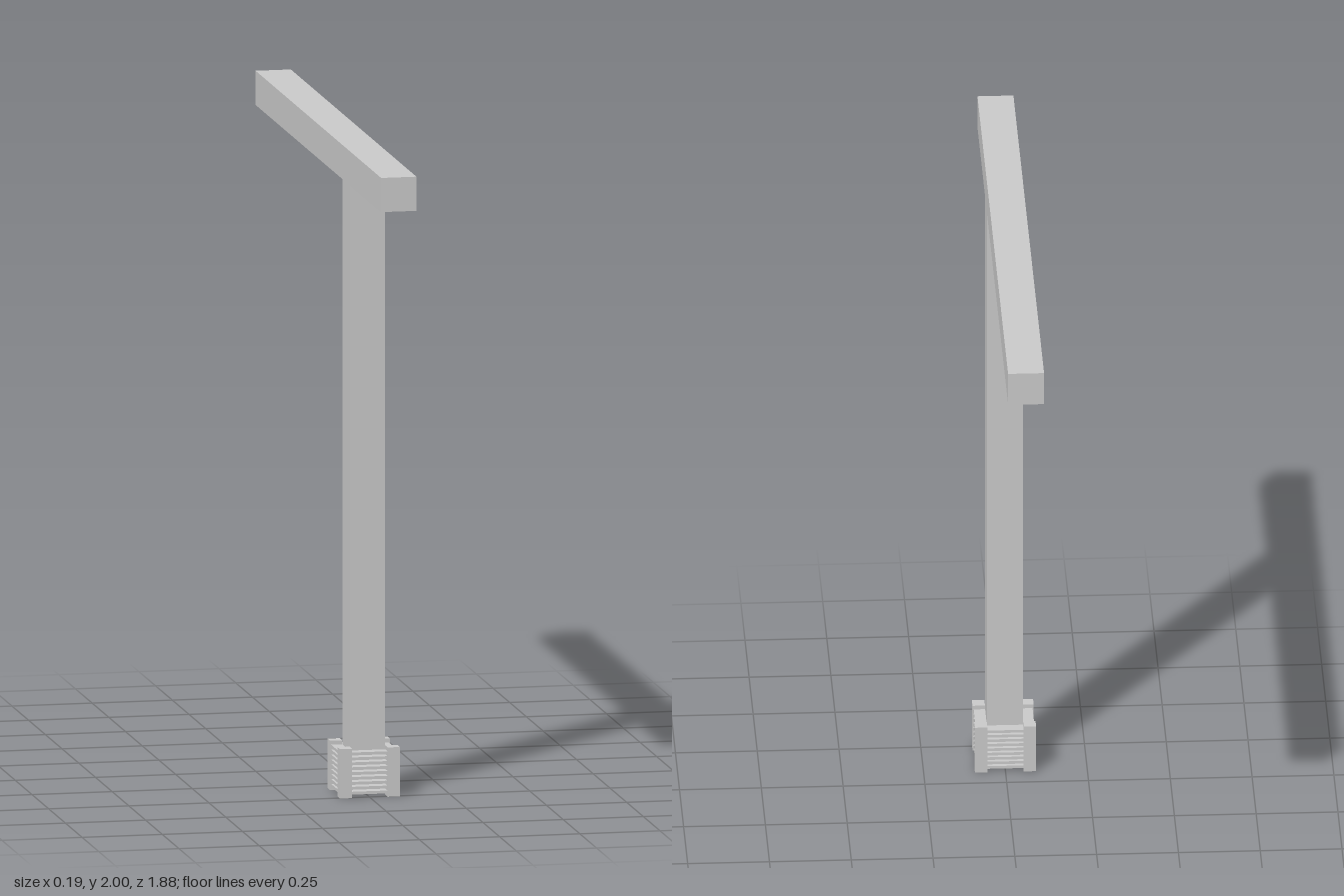
import * as THREE from 'three';

export function createModel() {
  const model = new THREE.Group();
  const material = new THREE.MeshStandardMaterial({ color: 0xcccccc, flatShading: true });
  const poleZ = 0.415;

  const box = (name, w, h, d, x, y, z, parent = model) => {
    const mesh = new THREE.Mesh(new THREE.BoxGeometry(w, h, d), material);
    mesh.name = name;
    mesh.position.set(x, y, z);
    parent.add(mesh);
  };

  // Long horizontal arm and the upright that carries it
  box('arm', 0.11, 0.106, 1.88, 0, 1.947, 0);
  box('pole', 0.11, 1.885, 0.11, 0, 0.9525, poleZ);

  // Slatted base: four corner posts around a stack of thin plates
  const base = new THREE.Group();
  base.name = 'base';
  base.position.z = poleZ;
  model.add(base);
  const post = 0.038, half = 0.0935, height = 0.153;
  for (const sx of [-1, 1]) {
    for (const sz of [-1, 1]) {
      box('cornerPost', post, height, post,
        sx * (half - post / 2), height / 2, sz * (half - post / 2), base);
    }
  }
  const slats = 9, pitch = 0.0152;
  for (let i = 0; i < slats; i++) {
    box('slat', 0.18, 0.009, 0.18, 0, 0.0145 + i * pitch, 0, base);
  }

  return model;
}
